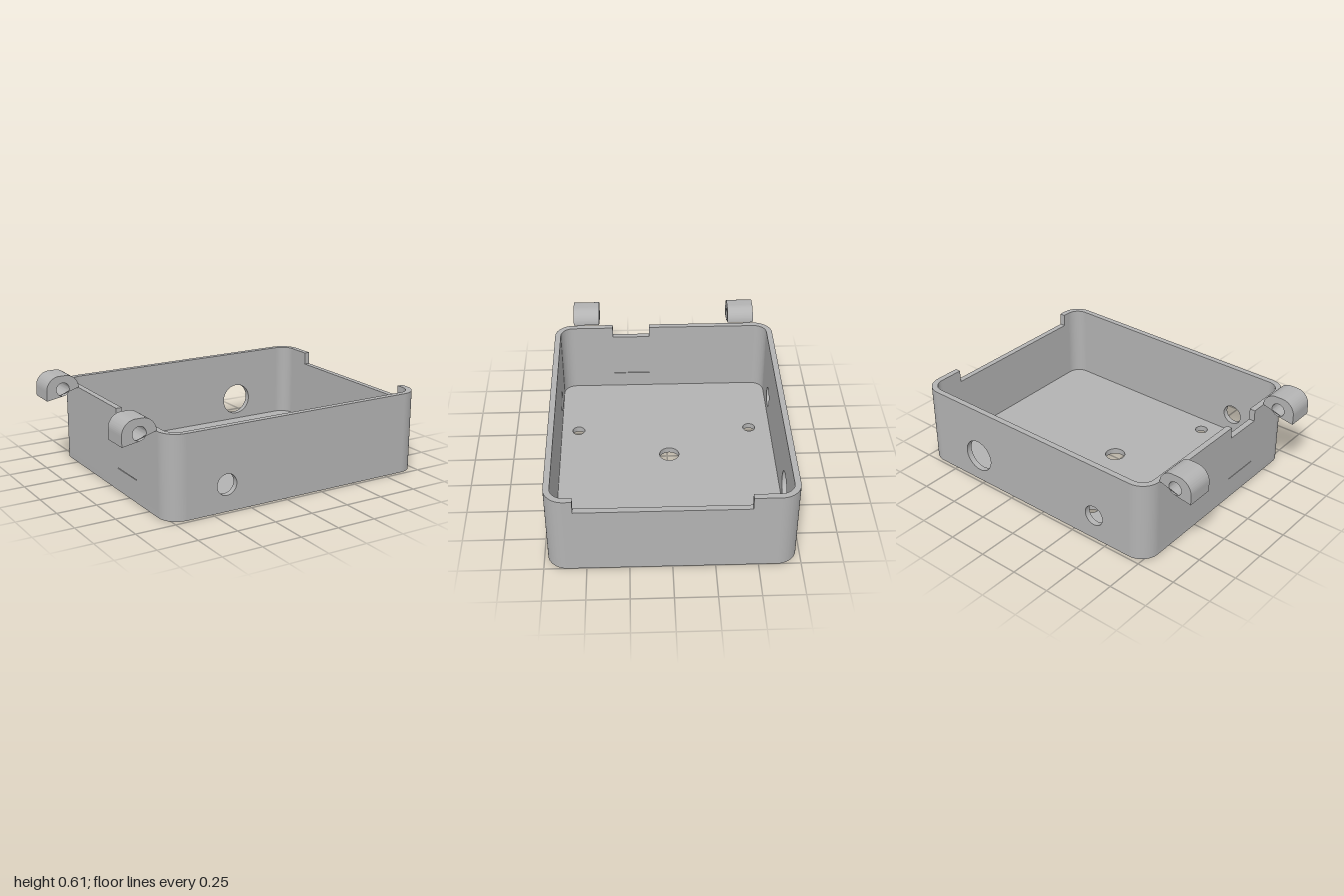
import * as THREE from 'three';
import { toCreasedNormals } from 'three/addons/utils/BufferGeometryUtils.js';

// Enclosure limits
const X0 = -0.785, X1 = 1, Z = 0.73, H = 0.515;
const WALL = 0.037, FLOOR = 0.037, R = 0.12;

const grey = new THREE.MeshStandardMaterial({ color: 0xb3b3b3 });
grey.name = 'grey';

function polygon(points) {
  return new THREE.Shape(points.map(([x, y]) => new THREE.Vector2(x, y)));
}

function addHole(shape, x, y, r) {
  shape.holes.push(new THREE.Path().absarc(x, y, r, 0, Math.PI * 2, true));
}

function solid(name, shape, depth) {
  const geo = new THREE.ExtrudeGeometry(shape, { depth, bevelEnabled: false, curveSegments: 20 });
  const mesh = new THREE.Mesh(toCreasedNormals(geo, 0.5), grey);
  mesh.name = name;
  return mesh;
}

// Side wall outline in (z, y), with a notch cut into its top edge
function notchedWall(a, b, notchY) {
  const e = Z - R;
  return polygon([[-e, FLOOR], [e, FLOOR], [e, H], [b, H], [b, notchY], [a, notchY], [a, H], [-e, H]]);
}

export function createModel() {
  const model = new THREE.Group();
  model.name = 'enclosure';

  // Floor plate with rounded corners and screw holes (shape y is -z)
  const base = new THREE.Shape();
  base.absarc(X1 - R, Z - R, R, 0, Math.PI / 2);
  base.absarc(X0 + R, Z - R, R, Math.PI / 2, Math.PI);
  base.absarc(X0 + R, -Z + R, R, Math.PI, Math.PI * 1.5);
  base.absarc(X1 - R, -Z + R, R, Math.PI * 1.5, Math.PI * 2);
  addHole(base, 0.025, 0.013, 0.063);
  addHole(base, -0.238, 0.555, 0.04);
  addHole(base, -0.238, -0.582, 0.04);
  const floor = solid('floor', base, FLOOR);
  floor.rotation.x = -Math.PI / 2;
  model.add(floor);

  // Rounded corner posts
  const corners = [[X1 - R, Z - R], [X0 + R, Z - R], [X0 + R, -Z + R], [X1 - R, -Z + R]];
  corners.forEach(([cx, cy], i) => {
    const a = i * Math.PI / 2, b = a + Math.PI / 2;
    const arc = new THREE.Shape();
    arc.absarc(cx, cy, R, a, b, false);
    arc.absarc(cx, cy, R - WALL, b, a, true);
    const corner = solid('cornerWall', arc, H - FLOOR);
    corner.rotation.x = -Math.PI / 2;
    corner.position.y = FLOOR;
    model.add(corner);
  });

  // Front and back walls with cable holes
  for (const front of [true, false]) {
    const shape = polygon([[X0 + R, FLOOR], [X1 - R, FLOOR], [X1 - R, H], [X0 + R, H]]);
    addHole(shape, -0.403, 0.165, 0.065);
    if (!front) addHole(shape, 0.54, 0.18, 0.104);
    const wall = solid(front ? 'frontWall' : 'backWall', shape, WALL);
    wall.position.z = front ? Z - WALL : -Z;
    model.add(wall);
  }

  // Side walls: wide notch on +x, narrow notch and fine slit on -x
  const leftWall = solid('leftWall', notchedWall(-0.452, 0.563, 0.435), WALL);
  leftWall.position.x = X1;
  const slitted = notchedWall(0.098, 0.345, 0.441);
  slitted.holes.push(polygon([[0.098, 0.141], [0.098, 0.145], [0.345, 0.145], [0.345, 0.141]]));
  const rightWall = solid('rightWall', slitted, WALL);
  rightWall.position.x = X0 + WALL;
  for (const wall of [leftWall, rightWall]) {
    wall.rotation.y = -Math.PI / 2;
    model.add(wall);
  }

  // Hinge lugs
  const r = 0.087, top = 0.605;
  for (const z of [0.437, -0.611]) {
    const lug = new THREE.Shape();
    lug.moveTo(X0, 0.24);
    lug.absarc(X0 - r, top - r, r, 0, Math.PI / 2, false);
    lug.absarc(-1 + r, top - r, r, Math.PI / 2, Math.PI, false);
    lug.lineTo(-1, 0.455);
    lug.closePath();
    addHole(lug, -0.892, 0.517, 0.043);
    const hinge = solid('hingeLug', lug, 0.172);
    hinge.position.z = z;
    model.add(hinge);
  }

  return model;
}
